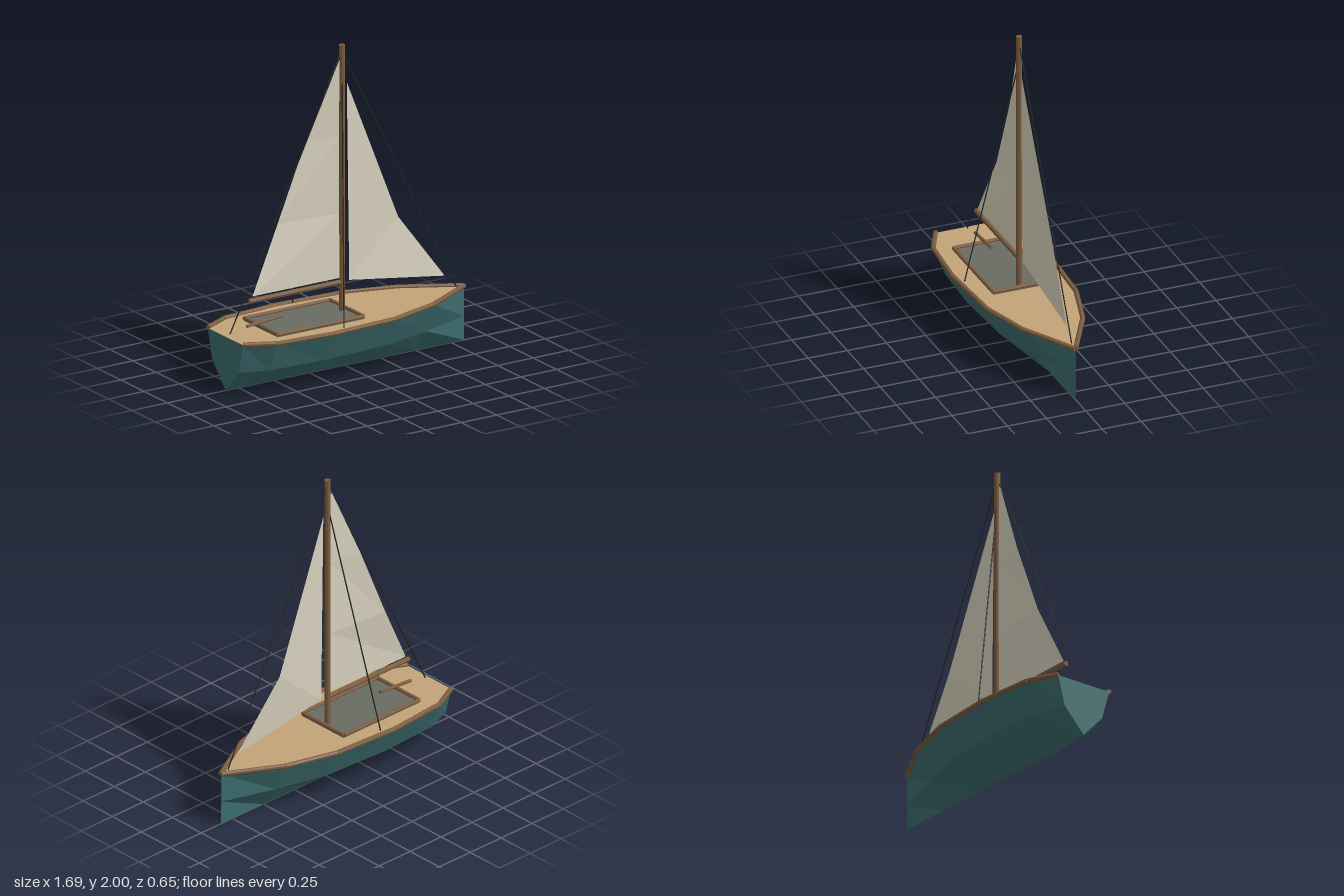
import * as THREE from 'three';

const mat = (name, color, extra = {}) => {
  const m = new THREE.MeshStandardMaterial({ color, ...extra });
  m.name = name;
  return m;
};

export function createModel() {
  const hullPaint = mat('hull teal', 0x3c6c6e, { flatShading: true });
  const planking = mat('deck planking', 0xc4a479, { side: THREE.DoubleSide });
  const wood = mat('varnished wood', 0x7c5c3e, { flatShading: true });
  const canvas = mat('sail canvas', 0xd6d0bc, { side: THREE.DoubleSide, flatShading: true });
  const floorGrey = mat('cockpit grey', 0x686c62);
  const wire = mat('rigging', 0x222826);

  const boat = new THREE.Group();
  boat.name = 'sailboat';
  const add = (name, geometry, material, parent = boat) => {
    const mesh = new THREE.Mesh(geometry, material);
    mesh.name = name;
    parent.add(mesh);
    return mesh;
  };
  const V = (x, y, z) => new THREE.Vector3(x, y, z);

  // Round bar between two points
  const bar = (name, a, b, radius, material, sides = 8, parent = boat) => {
    const dir = b.clone().sub(a);
    const mesh = add(name, new THREE.CylinderGeometry(radius, radius, dir.length(), sides), material, parent);
    mesh.position.copy(a).add(b).multiplyScalar(0.5);
    mesh.quaternion.setFromUnitVectors(V(0, 1, 0), dir.normalize());
    return mesh;
  };

  // Faceted surface from triangles given as points
  const surface = (tris) => {
    const g = new THREE.BufferGeometry().setFromPoints(tris.flat());
    g.computeVertexNormals();
    return g;
  };

  // Hull stations: x, half beam, chine beam ratio
  const deckY = 0.335, chineY = 0.15;
  const stations = [
    [-0.84, 0.19, 0.74], [-0.66, 0.28, 0.73], [-0.28, 0.312, 0.72],
    [0.17, 0.285, 0.7], [0.5, 0.19, 0.6], [0.84, 0.003, 0.6],
  ];
  const sections = stations.map(([x, w, r]) => [
    V(x, deckY, w), V(x, chineY, w * r), V(x, 0, 0), V(x, chineY, -w * r), V(x, deckY, -w),
  ]);
  const shell = [], deck = [];
  for (let i = 0; i < sections.length - 1; i++) {
    const a = sections[i], b = sections[i + 1];
    for (let j = 0; j < 4; j++) {
      shell.push([a[j], a[j + 1], b[j + 1]], [a[j], b[j + 1], b[j]]);
    }
    deck.push([a[0], b[0], b[4]], [a[0], b[4], a[4]]);
  }
  // Transom and stem close the ends
  const [s, e] = [sections[0], sections[sections.length - 1]];
  for (let j = 1; j < 4; j++) {
    shell.push([s[0], s[j + 1], s[j]], [e[0], e[j], e[j + 1]]);
  }
  add('hull', surface(shell), hullPaint);
  add('deck', surface(deck), planking);

  // Gunwale rails along both sheer lines
  const gunwale = new THREE.Group();
  gunwale.name = 'gunwale';
  boat.add(gunwale);
  for (const side of [1, -1]) {
    for (let i = 0; i < stations.length - 1; i++) {
      const [x0, w0] = stations[i], [x1, w1] = stations[i + 1];
      bar('gunwaleRail', V(x0, 0.338, side * w0), V(x1, 0.338, side * w1), 0.015, wood, 8, gunwale);
    }
  }

  // Cockpit floor and its raised coaming
  const floor = add('cockpitFloor', new THREE.BoxGeometry(0.61, 0.012, 0.36), floorGrey);
  floor.position.set(-0.285, 0.341, 0);
  for (const z of [0.18, -0.18]) {
    bar('coamingSide', V(-0.59, 0.353, z), V(0.015, 0.353, z), 0.012, wood);
  }
  for (const x of [-0.59, 0.015]) {
    bar('coamingEnd', V(x, 0.353, -0.18), V(x, 0.353, 0.18), 0.012, wood);
  }

  // Spars and tiller
  const mastX = -0.018;
  bar('mast', V(mastX, 0.335, 0), V(mastX, 2, 0), 0.019, wood, 10);
  bar('boom', V(-0.675, 0.525, 0), V(mastX, 0.525, 0), 0.015, wood);
  bar('tiller', V(-0.69, 0.371, 0), V(-0.44, 0.391, 0), 0.01, wood);

  // Mainsail: luff and leech points paired up the mast, bellied to one side
  const luff = [V(-0.035, 0.55, 0), V(-0.035, 0.95, -0.005), V(-0.035, 1.43, -0.005), V(-0.03, 1.95, 0)];
  const leech = [V(-0.65, 0.55, 0), V(-0.45, 0.95, -0.037), V(-0.25, 1.43, -0.037), V(-0.03, 1.95, 0)];
  const main = [];
  for (let i = 0; i < 3; i++) {
    main.push([leech[i], luff[i], luff[i + 1]]);
    if (i < 2) main.push([leech[i], luff[i + 1], leech[i + 1]]);
    else main.push([leech[i], luff[i], leech[i + 1]]);
  }
  main.splice(4, 1);
  add('mainsail', surface(main), canvas);

  // Jib
  const head = V(0.015, 1.76, 0), tack = V(0.032, 0.525, 0);
  const clew = V(0.705, 0.425, 0), belly = V(0.4, 0.84, -0.035);
  add('jib', surface([[tack, belly, head], [tack, clew, belly]]), canvas);

  // Standing rigging
  bar('forestay', V(mastX, 1.96, 0), V(0.785, 0.345, 0), 0.004, wire, 6);
  bar('backstay', V(mastX, 1.96, 0), V(-0.808, 0.345, 0), 0.004, wire, 6);
  for (const side of [1, -1]) {
    bar('shroud', V(mastX, 1.83, 0), V(-0.187, 0.345, side * 0.278), 0.004, wire, 6);
  }
  return boat;
}
